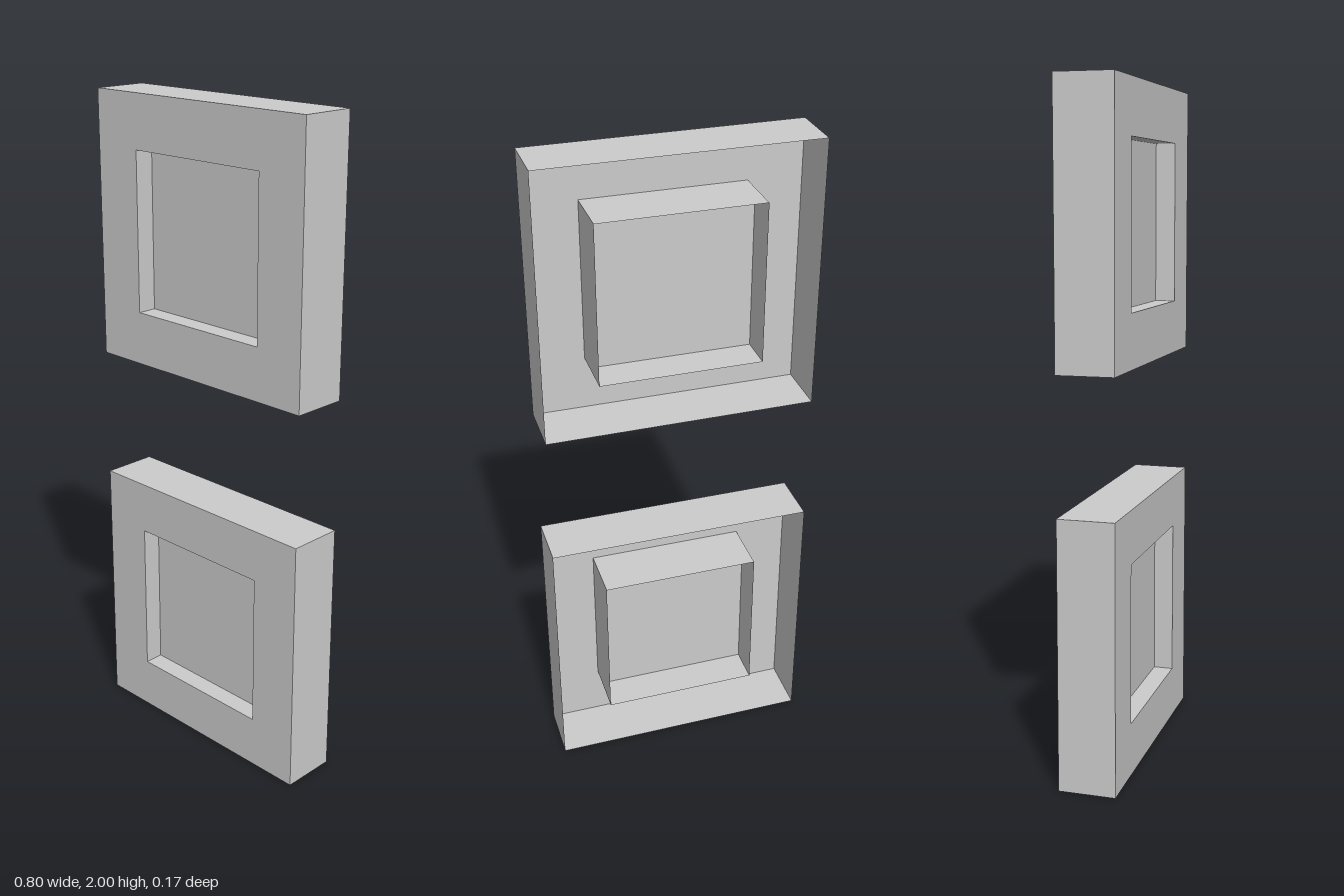
import * as THREE from 'three';

const OUTER = 0.4;    // half width of a panel
const INNER = 0.24;   // half width of its opening
const HALF_DEPTH = 0.085;
const PANE_Z = 0.025;

const material = new THREE.MeshStandardMaterial({
  color: 0xcccccc, flatShading: true, side: THREE.DoubleSide,
});

function part(name, geometry, z = 0) {
  const mesh = new THREE.Mesh(geometry, material);
  mesh.name = name;
  mesh.position.z = z;
  return mesh;
}

// Four thin walls around a square, open at front and back
function squareWalls(half) {
  return new THREE.CylinderGeometry(
    half * Math.SQRT2, half * Math.SQRT2, 2 * HALF_DEPTH, 4, 1, true, Math.PI / 4,
  ).rotateX(Math.PI / 2);
}

function squarePoints(half) {
  return [[-1, -1], [1, -1], [1, 1], [-1, 1]]
    .map(([x, y]) => new THREE.Vector2(x * half, y * half));
}

// Flat square face with a square opening
function frameFace() {
  const shape = new THREE.Shape(squarePoints(OUTER));
  shape.holes.push(new THREE.Path(squarePoints(INNER)));
  return new THREE.ShapeGeometry(shape);
}

function createPanel(name, y) {
  const panel = new THREE.Group();
  panel.name = name;
  panel.position.y = y;
  panel.add(
    part('frameFace', frameFace(), HALF_DEPTH),
    part('outerWalls', squareWalls(OUTER)),
    part('innerWalls', squareWalls(INNER)),
    part('recessedPane', new THREE.PlaneGeometry(2 * INNER, 2 * INNER), PANE_Z),
  );
  return panel;
}

export function createModel() {
  const model = new THREE.Group();
  model.name = 'framedPanels';
  // Two identical panels, one above the other
  model.add(createPanel('lowerPanel', 0.4), createPanel('upperPanel', 1.6));
  return model;
}
